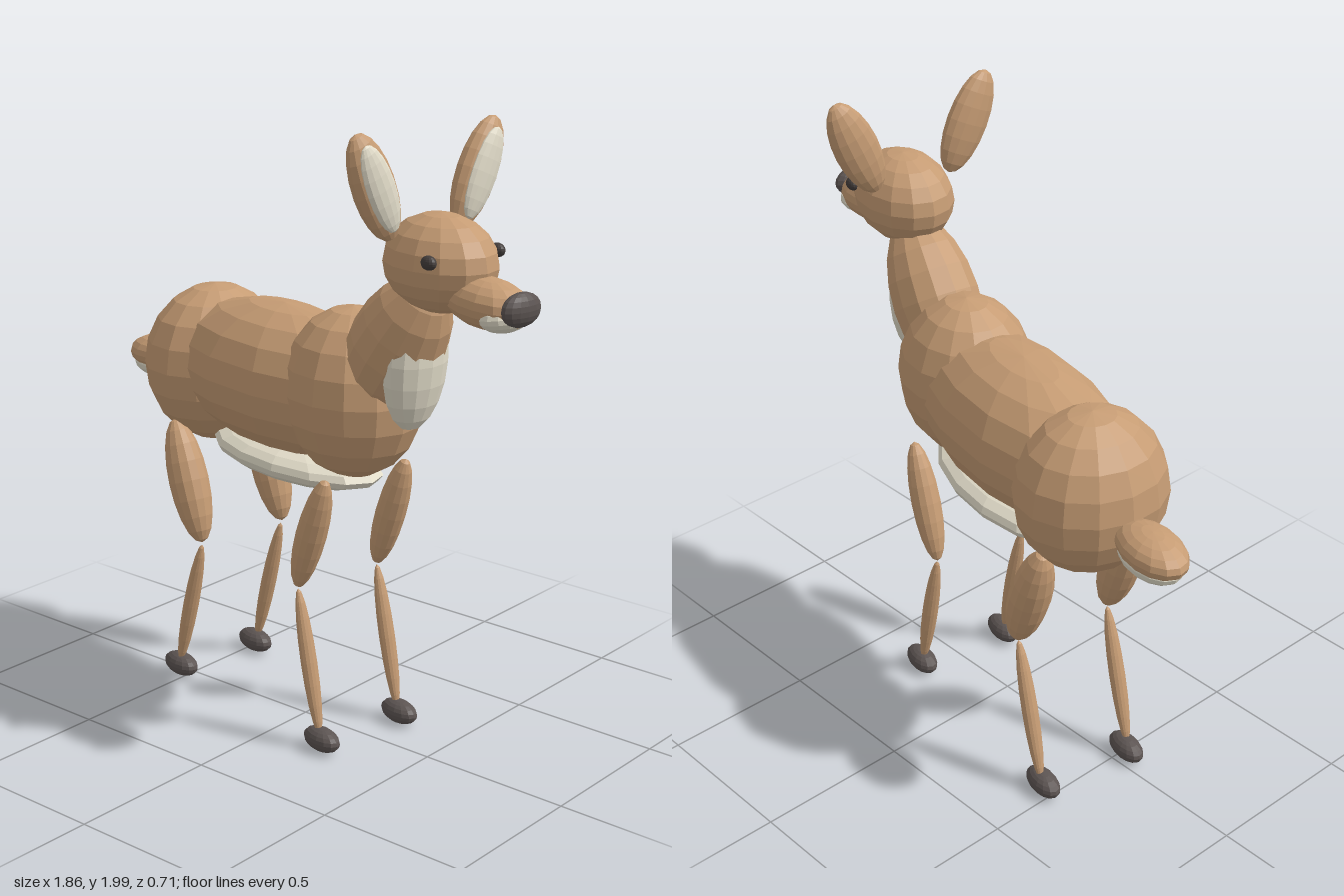
import * as THREE from 'three';

export function createModel() {
  const material = (name, color) => {
    const m = new THREE.MeshStandardMaterial({ color });
    m.name = name;
    return m;
  };
  const tan = material('tan coat', 0xc69c74);
  const cream = material('cream fur', 0xe4decb);
  const dark = material('dark horn', 0x5c5452);
  const black = material('eye black', 0x443e3c);

  // Shared faceted unit sphere; every part is a stretched copy
  const unit = new THREE.SphereGeometry(1, 14, 10).toNonIndexed();
  unit.computeVertexNormals();

  const model = new THREE.Group();
  model.name = 'deer';
  const body = new THREE.Group();
  body.name = 'body';
  body.rotation.y = -0.178;
  body.position.z = -0.028;
  model.add(body);

  const ball = (name, mat, pos, radii, tilt = 0, parent = body) => {
    const m = new THREE.Mesh(unit, mat);
    m.name = name;
    m.position.set(...pos);
    m.scale.set(...radii);
    m.rotation.z = tilt;
    parent.add(m);
    return m;
  };
  // Ellipsoid spanning two end points in the side plane
  const limb = (name, x0, y0, x1, y1, z, rx, rz) =>
    ball(name, tan, [(x0 + x1) / 2, (y0 + y1) / 2, z],
      [rx, Math.hypot(x1 - x0, y1 - y0) / 2, rz], Math.atan2(x1 - x0, y0 - y1));

  // Trunk
  ball('rump', tan, [-0.495, 1.09, 0], [0.222, 0.262, 0.243]);
  ball('barrel', tan, [-0.13, 1.12, 0], [0.52, 0.237, 0.235]);
  ball('chest', tan, [0.2, 1.142, 0], [0.24, 0.268, 0.212]);
  ball('belly', cream, [-0.075, 0.87, 0], [0.37, 0.065, 0.175]);

  // Neck and throat
  ball('neck', tan, [0.387, 1.32, 0], [0.15, 0.28, 0.14], -0.61);
  ball('throat', cream, [0.478, 1.3, 0], [0.077, 0.22, 0.112], -0.08);

  // Head
  ball('head', tan, [0.578, 1.612, 0], [0.193, 0.145, 0.148]);
  ball('muzzle', tan, [0.775, 1.53, 0], [0.15, 0.073, 0.092], -0.06);
  ball('chin', cream, [0.842, 1.503, 0], [0.065, 0.045, 0.084], 0.15);
  ball('nose', dark, [0.905, 1.536, 0], [0.033, 0.05, 0.072]);

  // Tail with pale underside
  ball('tail', tan, [-0.805, 1.05, 0], [0.14, 0.06, 0.088], 0.04);
  ball('tailUnderside', cream, [-0.8, 1.016, 0], [0.125, 0.05, 0.078], 0.02);

  for (const s of [-1, 1]) {
    const side = s > 0 ? 'Right' : 'Left';

    ball('eye' + side, black, [0.672, 1.645, s * 0.133], [0.027, 0.021, 0.019]);

    // Ear, leaning outwards, with pale front
    const ear = new THREE.Group();
    ear.name = 'ear' + side;
    ear.position.set(0.512, 1.84, s * 0.198);
    ear.rotation.x = s * 0.42;
    body.add(ear);
    ball('earOuter', tan, [0, 0, 0], [0.045, 0.172, 0.073], 0, ear);
    ball('earInner', cream, [0.029, 0, 0], [0.023, 0.14, 0.052], 0, ear);

    // Legs: thigh, shin and hoof
    limb('rearThigh' + side, -0.5, 0.92, -0.36, 0.525, s * 0.168, 0.066, 0.066);
    limb('rearShin' + side, -0.365, 0.515, -0.5, 0.05, s * 0.166, 0.024, 0.027);
    ball('rearHoof' + side, dark, [-0.503, 0.042, s * 0.16], [0.077, 0.038, 0.041]);
    limb('frontThigh' + side, 0.265, 0.905, 0.13, 0.52, s * 0.163, 0.05, 0.048);
    limb('frontShin' + side, 0.133, 0.515, 0.24, 0.05, s * 0.163, 0.024, 0.027);
    ball('frontHoof' + side, dark, [0.25, 0.042, s * 0.163], [0.075, 0.038, 0.041]);
  }

  return model;
}
